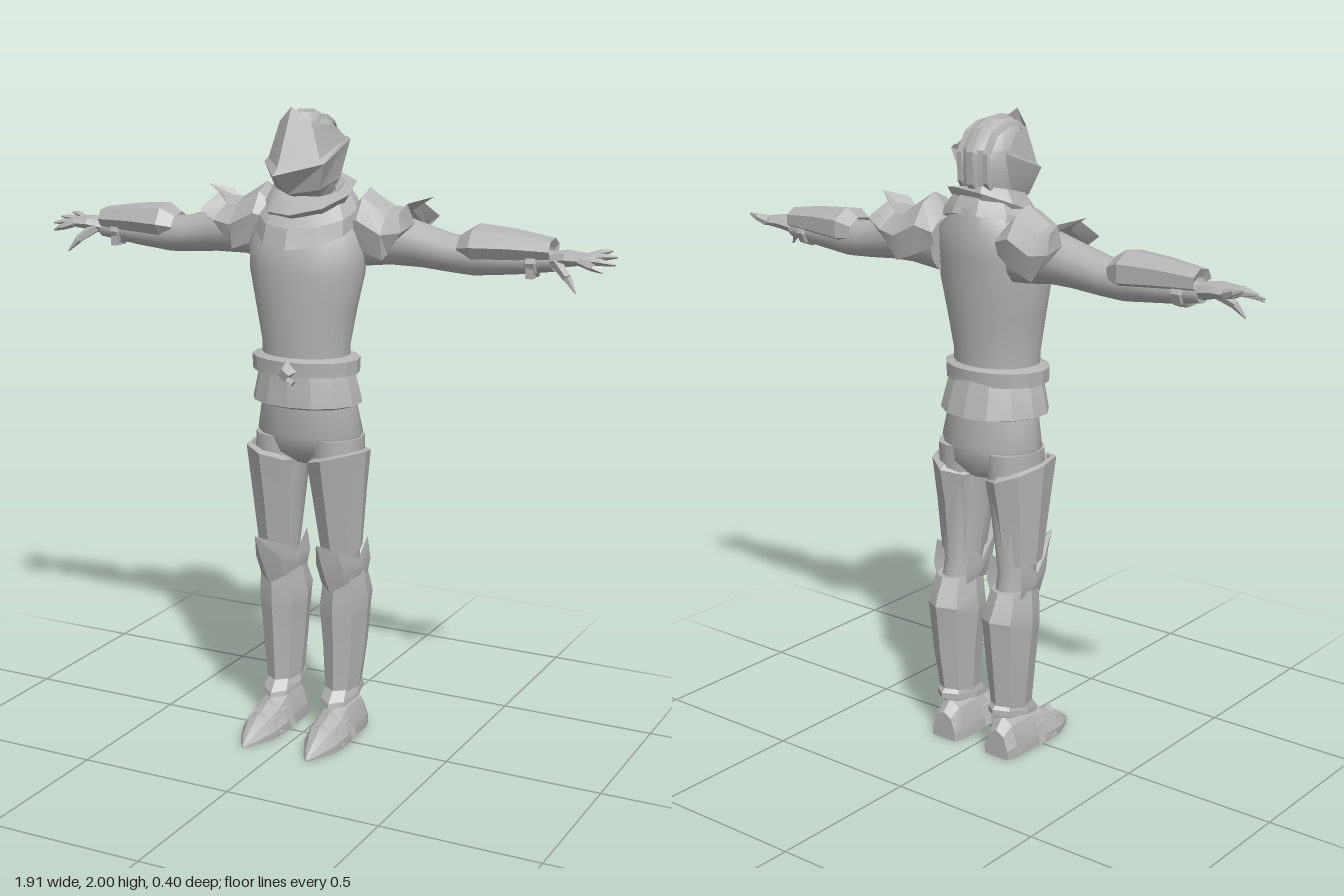
import * as THREE from 'three';
import { toCreasedNormals } from 'three/addons/utils/BufferGeometryUtils.js';

const steel = new THREE.MeshStandardMaterial({ color: 0xb4b4b4, side: THREE.DoubleSide });
steel.name = 'steel grey';

// triangles (arrays of 3 points) -> geometry
function fromTriangles(tris) {
  const g = new THREE.BufferGeometry();
  g.setAttribute('position', new THREE.Float32BufferAttribute(tris.flat(2), 3));
  return g;
}

// Elliptical sections along an axis. Row: [t, ca, cb, ra, rb+, rb-, tiltB, tiltA]
function loft(rows, n = 12, axis = 'y', capped = true) {
  const map = {
    y: (a, t, b) => [a, t, b],
    x: (a, t, b) => [t, a, b],
    z: (a, t, b) => [a, b, t],
  }[axis];
  const rings = rows.map(([t, ca, cb, ra, rp, rm = rp, tb = 0, ta = 0]) =>
    Array.from({ length: n }, (_, i) => {
      const w = ((i + 0.5) / n) * Math.PI * 2 + Math.PI / 2 - Math.PI / n;
      const c = Math.cos(w), s = Math.sin(w);
      return map(ca + ra * c, t + tb * s + ta * c, cb + (s > 0 ? rp : rm) * s);
    }));
  const tris = [];
  const put = (a, b, c) => tris.push(axis === 'y' ? [a, b, c] : [a, c, b]);
  for (let j = 0; j < rings.length - 1; j++) {
    for (let i = 0; i < n; i++) {
      const k = (i + 1) % n, [p, q] = [rings[j], rings[j + 1]];
      put(p[i], q[i], p[k]);
      put(p[k], q[i], q[k]);
    }
  }
  if (capped) {
    [0, rows.length - 1].forEach((j) => {
      const m = map(rows[j][1], rows[j][0], rows[j][2]), r = rings[j];
      for (let i = 0; i < n; i++) {
        const k = (i + 1) % n;
        if (j === 0) put(m, r[i], r[k]); else put(m, r[k], r[i]);
      }
    });
  }
  return fromTriangles(tris);
}

// Open plate through a grid of points
function sheet(rows) {
  const tris = [];
  for (let j = 0; j < rows.length - 1; j++) {
    for (let i = 0; i < rows[j].length - 1; i++) {
      const a = rows[j][i], b = rows[j][i + 1], c = rows[j + 1][i], d = rows[j + 1][i + 1];
      tris.push([a, b, c], [b, d, c]);
    }
  }
  return fromTriangles(tris);
}

// Plate symmetric about x = cx; rows run from the centre outward
function symmetricSheet(rows, cx = 0) {
  return sheet(rows.map((r) => [
    ...r.slice(1).reverse().map(([x, y, z]) => [cx - x, y, z]),
    ...r.map(([x, y, z]) => [cx + x, y, z]),
  ]));
}

// Tapered rod between two points
function rod(p, q, r0, r1, n = 5) {
  const a = new THREE.Vector3(...p), b = new THREE.Vector3(...q), d = b.clone().sub(a);
  const g = new THREE.CylinderGeometry(r1, r0, d.length(), n);
  g.applyQuaternion(new THREE.Quaternion().setFromUnitVectors(new THREE.Vector3(0, 1, 0), d.normalize()));
  return g.translate(...a.add(b).multiplyScalar(0.5).toArray());
}

// Reflected copy with corrected winding
function reflect(geo) {
  const g = geo.index ? geo.toNonIndexed() : geo.clone(), p = g.attributes.position;
  for (let i = 0; i < p.count; i += 3) {
    const v = [0, 2, 1].map((k) => [-p.getX(i + k), p.getY(i + k), p.getZ(i + k)]);
    v.forEach((w, k) => p.setXYZ(i + k, ...w));
  }
  return g;
}

export function createModel() {
  const model = new THREE.Group();
  model.name = 'armouredFigure';
  const add = (name, geo, crease = 0.35) => {
    const g = geo.index ? geo.toNonIndexed() : geo;
    g.deleteAttribute('normal');
    g.computeVertexNormals();
    const mesh = new THREE.Mesh(toCreasedNormals(g, crease), steel);
    mesh.name = name;
    model.add(mesh);
  };
  const pair = (name, geo, crease) => {
    const other = reflect(geo);
    add(name + 'Left', geo, crease);
    add(name + 'Right', other, crease);
  };

  // Torso, belt and skirt
  add('torso', loft([
    [1.2, 0, -0.02, 0.14, 0.11, 0.12], [1.28, 0, -0.02, 0.14, 0.115, 0.12],
    [1.4, 0, -0.02, 0.163, 0.12, 0.135], [1.5, 0, -0.025, 0.185, 0.125, 0.14],
    [1.58, 0, -0.03, 0.19, 0.125, 0.14], [1.66, 0, -0.05, 0.17, 0.1, 0.13],
    [1.73, 0, -0.06, 0.09, 0.08, 0.1],
  ], 20), 0.9);
  add('belt', loft([
    [1.2, 0, -0.02, 0.15, 0.115, 0.12], [1.195, 0, -0.02, 0.172, 0.13, 0.135],
    [1.24, 0, -0.02, 0.174, 0.132, 0.137], [1.25, 0, -0.02, 0.14, 0.115, 0.12],
  ], 16, 'y', false));
  add('beltBuckle', rod([0, 1.215, 0.1], [0, 1.205, 0.135], 0.034, 0.02, 4));
  add('beltTail', rod([-0.02, 1.21, 0.115], [0.03, 1.18, 0.125], 0.012, 0.01, 4));
  add('skirt', loft([
    [1.21, 0, -0.025, 0.145, 0.125, 0.13], [1.18, 0, -0.025, 0.158, 0.128, 0.14],
    [1.1, 0, -0.025, 0.176, 0.135, 0.165], [1.09, 0, -0.025, 0.15, 0.11, 0.13],
  ], 14, 'y', false));
  add('hips', loft([
    [0.9, 0, -0.05, 0.06, 0.05, 0.08], [0.94, 0, -0.05, 0.15, 0.1, 0.11],
    [1.0, 0, -0.05, 0.173, 0.12, 0.115], [1.12, 0, -0.04, 0.15, 0.11, 0.11],
  ], 16), 0.9);

  // Scarf: two drooping folds
  add('scarfLower', loft([
    [1.74, 0.01, -0.03, 0.12, 0.09, 0.11, -0.03], [1.69, 0.012, -0.02, 0.155, 0.145, 0.14, -0.045],
    [1.65, 0.012, -0.02, 0.16, 0.168, 0.15, -0.065], [1.645, 0.01, -0.02, 0.12, 0.12, 0.12, -0.06],
  ], 11, 'y', false));
  add('scarfUpper', loft([
    [1.735, 0, -0.035, 0.085, 0.06, 0.08, -0.03], [1.765, 0.005, -0.035, 0.11, 0.085, 0.11, -0.03, -0.01],
    [1.735, 0.012, -0.025, 0.143, 0.14, 0.13, -0.05, 0.015], [1.7, 0.01, -0.025, 0.12, 0.1, 0.11, -0.04, 0.015],
  ], 9, 'y', false));

  // Helmet shell
  add('helmet', loft([
    [1.72, 0, -0.05, 0.06, 0.05, 0.06], [1.76, 0, -0.04, 0.08, 0.08, 0.1],
    [1.84, 0, -0.04, 0.093, 0.1, 0.108], [1.9, 0, -0.04, 0.09, 0.1, 0.105],
    [1.95, 0, -0.03, 0.07, 0.085, 0.08], [1.98, 0, -0.015, 0.035, 0.05, 0.05],
  ], 12), 0.5);
  // Three raised combs running front to back
  const comb = [[1.955, 0.06], [1.99, 0.01], [1.985, -0.05], [1.96, -0.108], [1.895, -0.152], [1.8, -0.15], [1.74, -0.11]];
  [[0, 1, 0.02], [0.048, 0.9, 0.013], [-0.048, 0.9, 0.013]].forEach(([cx, k, w]) => {
    const at = (x, s) => comb.map(([y, z]) => [x, 1.85 + (y - 1.85) * s, -0.04 + (z + 0.04) * s]);
    const cols = [at(cx - w, k * 0.9), at(cx - w * 0.6, k), at(cx + w * 0.6, k), at(cx + w, k * 0.9)];
    add('helmetComb', sheet(comb.map((_, i) => cols.map((c) => c[i]))));
  });
  // Pointed visor and jaw guard
  add('visor', symmetricSheet([
    [[0, 1.83, 0.165], [0.086, 1.845, 0.06], [0.1, 1.9, -0.09]],
    [[0, 2.0, 0.075], [0.052, 1.955, 0.05], [0.085, 1.935, -0.05]],
  ]));
  add('jawGuard', symmetricSheet([
    [[0, 1.835, 0.155], [0.085, 1.85, 0.055], [0.096, 1.905, -0.1]],
    [[0, 1.808, 0.196], [0.1, 1.835, 0.06], [0.102, 1.895, -0.112]],
    [[0, 1.745, 0.1], [0.072, 1.755, 0.04], [0.088, 1.78, -0.07]],
    [[0, 1.712, -0.04], [0.04, 1.715, -0.04], [0.065, 1.73, -0.06]],
  ]));

  // Spiked shoulder plates: arched ribs along x
  const arch = (x, top, bottom, half, scallop = 0) => {
    const h = [0, 0.5, 0.86, 1, 0.86, 0.5, 0];
    const w = [0.85, 1, 0.55, 0, -0.55, -1, -0.85];
    const s = [-2, 0.4, -0.9, 1, -0.9, 0.4, -2];
    return h.map((v, i) => [x + s[i] * scallop, bottom + (top - bottom) * v, -0.1 + half * w[i]]);
  };
  pair('shoulderPlate', sheet([
    arch(0.12, 1.69, 1.61, 0.085), arch(0.175, 1.755, 1.58, 0.1), arch(0.255, 1.705, 1.55, 0.103),
    arch(0.31, 1.705, 1.57, 0.095, 0.02), arch(0.35, 1.738, 1.6, 0.092, 0.034),
  ]));

  // Arms, forearm guards and wrist straps
  pair('arm', loft([
    [0.14, 1.6, -0.09, 0.085, 0.075], [0.25, 1.61, -0.09, 0.082, 0.075], [0.35, 1.595, -0.09, 0.068, 0.068],
    [0.45, 1.577, -0.09, 0.058, 0.063], [0.52, 1.573, -0.09, 0.058, 0.06],
    [0.65, 1.572, -0.09, 0.044, 0.045], [0.77, 1.575, -0.09, 0.03, 0.035],
  ], 12, 'x'), 0.9);
  pair('forearmGuard', loft([
    [0.485, 1.6, -0.09, 0.042, 0.06], [0.53, 1.608, -0.09, 0.062, 0.082],
    [0.64, 1.61, -0.09, 0.052, 0.066], [0.765, 1.607, -0.09, 0.036, 0.048], [0.755, 1.595, -0.09, 0.022, 0.034],
  ], 7, 'x', false));
  pair('wristStrap', loft([
    [0.69, 1.57, -0.09, 0.038, 0.04], [0.695, 1.57, -0.09, 0.045, 0.05],
    [0.72, 1.57, -0.09, 0.044, 0.048], [0.725, 1.57, -0.09, 0.036, 0.04],
  ], 8, 'x', false));
  pair('strapBuckle', new THREE.BoxGeometry(0.022, 0.03, 0.03).translate(0.707, 1.54, -0.06));

  // Hands with tapered fingers
  pair('palm', loft([
    [0.755, 1.577, -0.09, 0.026, 0.034], [0.81, 1.588, -0.085, 0.025, 0.048],
    [0.87, 1.588, -0.085, 0.016, 0.052], [0.88, 1.586, -0.085, 0.008, 0.045],
  ], 8, 'x'));
  [[0.925, 1.61, -0.138], [0.95, 1.597, -0.108], [0.955, 1.58, -0.074], [0.93, 1.562, -0.035]].forEach(([x, y, z], i) => {
    const root = [0.86, 1.588, -0.128 + i * 0.028], mid = [(x + 0.87) / 2, y * 0.6 + 1.592 * 0.4, z];
    pair('fingerBase', rod(root, mid, 0.014, 0.011));
    pair('fingerTip', rod(mid, [x, y, z], 0.011, 0.003));
  });
  pair('thumbBase', rod([0.785, 1.577, -0.06], [0.83, 1.54, -0.025], 0.018, 0.013));
  pair('thumbTip', rod([0.83, 1.54, -0.025], [0.86, 1.502, -0.012], 0.013, 0.003));

  // Legs and thigh guards
  pair('thigh', loft([
    [0.47, 0.106, -0.08, 0.058, 0.06, 0.08], [0.6, 0.106, -0.055, 0.054, 0.065, 0.075],
    [0.8, 0.1, -0.04, 0.076, 0.09, 0.105], [0.99, 0.09, -0.045, 0.084, 0.1, 0.115],
  ], 12), 0.9);
  pair('thighGuard', loft([
    [0.64, 0.11, -0.05, 0.052, 0.065, 0.07], [0.63, 0.11, -0.05, 0.064, 0.08, 0.08],
    [0.8, 0.106, -0.045, 0.08, 0.11, 0.105], [0.925, 0.105, -0.04, 0.09, 0.138, 0.133, 0.015, 0.025],
    [0.935, 0.105, -0.04, 0.078, 0.11, 0.11, 0.01, 0.02],
  ], 8, 'y', false));

  // Pointed knee plates with a lower lame
  pair('kneePlate', symmetricSheet([
    [[0, 0.68, 0.122], [0.038, 0.645, 0.05], [0.066, 0.6, -0.04], [0.062, 0.655, -0.115]],
    [[0, 0.6, 0.085], [0.046, 0.585, 0.03], [0.07, 0.57, -0.05], [0.068, 0.58, -0.125]],
    [[0, 0.5, 0.03], [0.04, 0.52, 0.005], [0.064, 0.54, -0.06], [0.06, 0.53, -0.12]],
  ], 0.107));

  // Shin armour and ankle flare
  pair('shinGuard', loft([
    [0.55, 0.11, -0.075, 0.066, 0.085, 0.085], [0.5, 0.11, -0.08, 0.073, 0.09, 0.105],
    [0.445, 0.107, -0.085, 0.081, 0.097, 0.115, -0.02], [0.42, 0.107, -0.085, 0.078, 0.095, 0.11, -0.02],
    [0.3, 0.107, -0.088, 0.068, 0.09, 0.092], [0.13, 0.103, -0.08, 0.051, 0.076, 0.076],
  ].reverse(), 8));
  pair('ankleFlare', loft([
    [0.13, 0.103, -0.073, 0.05, 0.085, 0.085, -0.02], [0.128, 0.103, -0.073, 0.058, 0.105, 0.105, -0.02],
    [0.145, 0.103, -0.073, 0.058, 0.1, 0.105, -0.02], [0.17, 0.103, -0.078, 0.05, 0.075, 0.077, -0.01],
  ], 8, 'y', false));

  // Pointed shoes with overlapping plates
  pair('shoe', loft([
    [-0.165, 0.107, 0.002, 0.048, 0.09, 0.002], [-0.13, 0.107, 0.002, 0.06, 0.125, 0.002],
    [-0.03, 0.108, 0.002, 0.06, 0.125, 0.002], [0.03, 0.11, 0.002, 0.066, 0.092, 0.002],
    [0.1, 0.111, 0.002, 0.058, 0.073, 0.002], [0.165, 0.112, 0.002, 0.028, 0.033, 0.002],
    [0.2, 0.112, 0.002, 0.003, 0.004, 0.002],
  ], 10, 'z'));
  [[0.02, 0.1, 0.069], [0.085, 0.08, 0.063]].forEach(([z, h, w]) => {
    pair('toePlate', symmetricSheet([
      [[0, h + 0.002, z - 0.05], [w * 0.7, h * 0.72, z - 0.04], [w, 0.01, z - 0.05]],
      [[0, h, z + 0.03], [w * 0.7, h * 0.7, z], [w, 0.01, z - 0.02]],
    ], 0.11));
  });
  return model;
}
